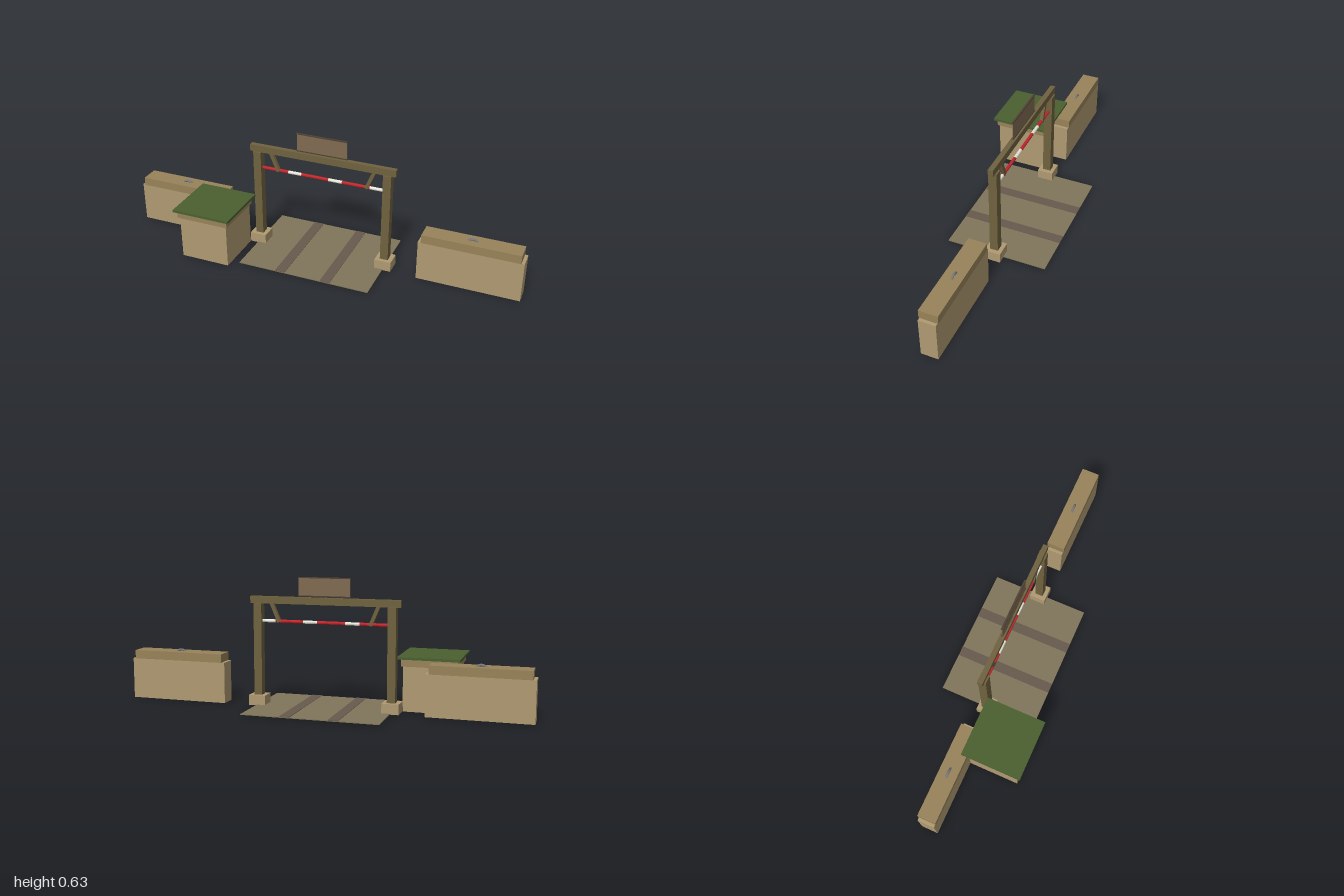
import * as THREE from 'three';

const mat = (color) => new THREE.MeshStandardMaterial({ color, flatShading: true });
const M = {
  wall: mat(0xb09a72), cap: mat(0x988359), timber: mat(0x706240), roof: mat(0x4a6030),
  ground: mat(0x80755a), track: mat(0x685a4e), sign: mat(0x806a52), rail: mat(0x4f4234),
  red: mat(0xc0262c), white: mat(0xe6e6dc), metal: mat(0x777777),
};

const GATE_X = -0.003; // centre line of the gateway
const GATE_Z = -0.033; // plane of gate and walls

// Box given by centre x/z, bottom y and size
function box(parent, name, material, [w, h, d], [x, y, z]) {
  const mesh = new THREE.Mesh(new THREE.BoxGeometry(w, h, d), material);
  mesh.position.set(x, y + h / 2, z);
  mesh.name = name;
  parent.add(mesh);
  return mesh;
}

function createWall(side) {
  const g = new THREE.Group();
  g.name = side > 0 ? 'leftWall' : 'rightWall';
  box(g, 'wallBody', M.wall, [0.5, 0.202, 0.083], [0, 0, 0]);
  box(g, 'wallCap', M.cap, [0.47, 0.042, 0.091], [0, 0.202, 0]);
  // Lifting loop, mostly sunk into the cap
  const start = Math.PI * 0.15;
  const loop = new THREE.Mesh(new THREE.TorusGeometry(0.03, 0.006, 8, 16, Math.PI - 2 * start), M.metal);
  loop.geometry.rotateZ(start);
  loop.position.y = 0.221;
  loop.name = 'liftingLoop';
  g.add(loop);
  g.position.set(side * 0.75, 0, GATE_Z);
  return g;
}

function createBooth() {
  const g = new THREE.Group();
  g.name = 'guardBooth';
  box(g, 'boothBody', M.wall, [0.25, 0.218, 0.25], [0, 0, 0]);
  box(g, 'boothCornice', M.cap, [0.268, 0.032, 0.268], [0, 0.218, 0]);
  box(g, 'boothRoof', M.roof, [0.298, 0.012, 0.298], [0, 0.253, 0]);
  g.position.set(-0.503, 0, 0.135);
  return g;
}

function createGate() {
  const g = new THREE.Group();
  g.name = 'gate';
  for (const s of [-1, 1]) {
    box(g, 'postBase', M.wall, [0.083, 0.05, 0.08], [s * 0.333, 0, 0]);
    box(g, 'post', M.timber, [0.04, 0.45, 0.041], [s * 0.333, 0.05, 0]);
    // Slanted hanger between beam and barrier pole
    const brace = box(g, 'brace', M.timber, [0.017, 0.1, 0.017], [s * 0.246, 0.406, 0]);
    brace.rotation.z = -s * 0.4;
  }
  box(g, 'beam', M.timber, [0.745, 0.034, 0.025], [0, 0.5, 0]);

  // Striped barrier pole
  const count = 9, length = 0.628 / count;
  for (let i = 0; i < count; i++) {
    const geo = new THREE.CylinderGeometry(0.008, 0.008, length, 10).rotateZ(Math.PI / 2);
    const stripe = new THREE.Mesh(geo, i % 3 === 2 ? M.white : M.red);
    stripe.position.set((i - (count - 1) / 2) * length, 0.415, 0);
    stripe.name = 'barrierStripe';
    g.add(stripe);
  }

  // Sign board framed by two rails
  box(g, 'signBoard', M.sign, [0.255, 0.088, 0.004], [0, 0.541, 0]);
  for (const y of [0.538, 0.626]) box(g, 'signRail', M.rail, [0.26, 0.005, 0.009], [0, y, 0]);
  g.position.set(GATE_X, 0, GATE_Z);
  return g;
}

function createRoad() {
  const g = new THREE.Group();
  g.name = 'road';
  box(g, 'roadSlab', M.ground, [0.668, 0.004, 0.5], [0, 0, 0]);
  for (const s of [-1, 1]) box(g, 'wheelTrack', M.track, [0.05, 0.003, 0.5], [s * 0.117, 0.003, 0]);
  g.position.set(GATE_X, 0, GATE_Z);
  return g;
}

export function createModel() {
  const model = new THREE.Group();
  model.name = 'checkpoint';
  model.add(createWall(-1), createWall(1), createBooth(), createGate(), createRoad());
  return model;
}
